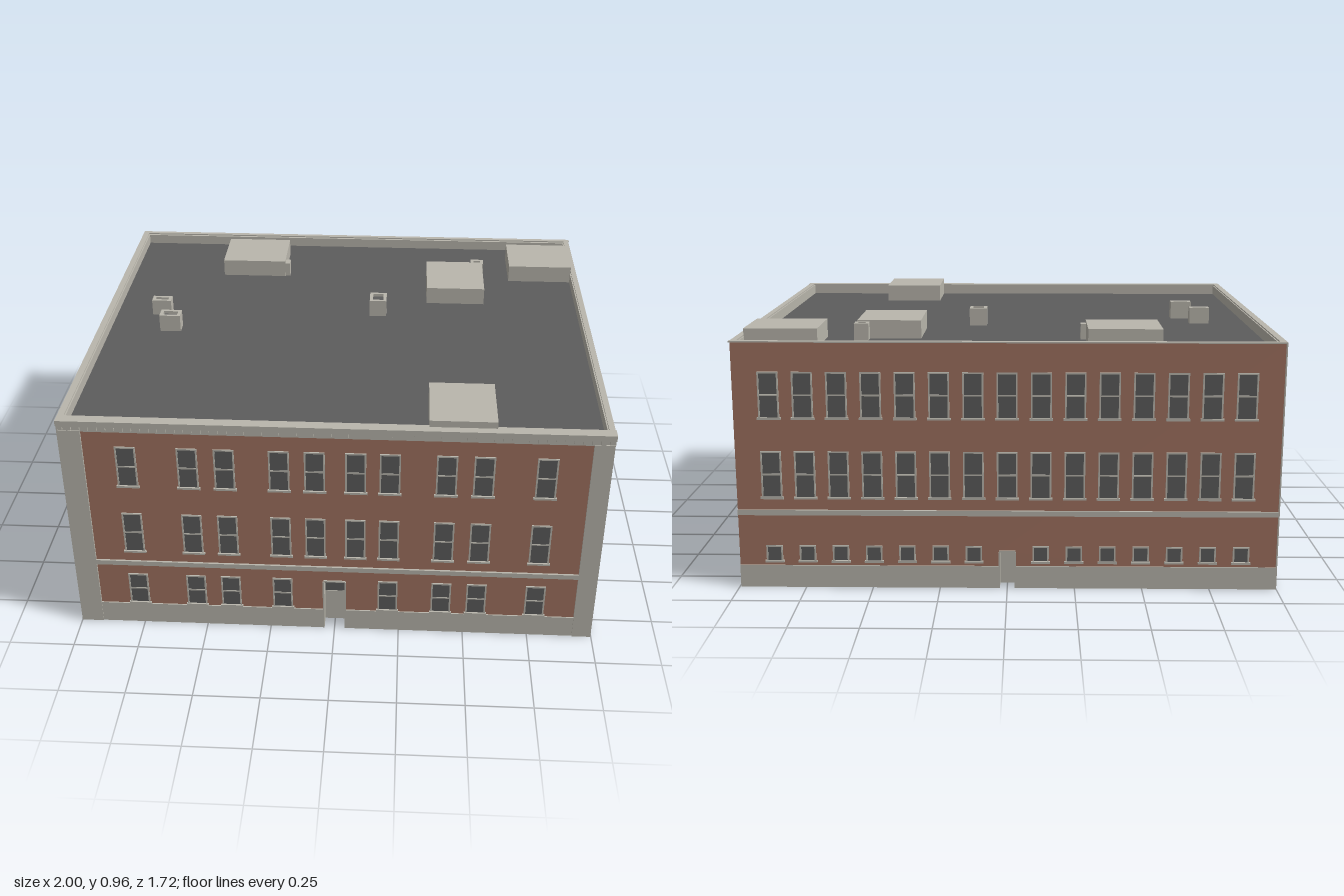
import * as THREE from 'three';

const mat = (name, color, side = THREE.FrontSide) => {
  const m = new THREE.MeshStandardMaterial({ color, side });
  m.name = name;
  return m;
};

export function createModel() {
  const brick = mat('brick', 0xa07260);
  const stone = mat('stone', 0xb9b6ac);
  const dark = mat('roof and glass', 0x5c5c5c);

  const model = new THREE.Group();
  model.name = 'building';

  // Box given by its minimum and maximum corners
  const box = (parent, name, m, x0, x1, y0, y1, z0, z1) => {
    const mesh = new THREE.Mesh(new THREE.BoxGeometry(x1 - x0, y1 - y0, z1 - z0), m);
    mesh.position.set((x0 + x1) / 2, (y0 + y1) / 2, (z0 + z1) / 2);
    mesh.name = name;
    parent.add(mesh);
    return mesh;
  };

  const WALL = 0.925, ROOF = 0.885;

  // Wall skin with an optional doorway cut from its lower edge
  const skin = (parent, name, m, width, z0, z1, door) => {
    const w = width / 2, s = new THREE.Shape();
    s.moveTo(-w, 0);
    if (door) {
      s.lineTo(-door.w / 2, 0);
      s.lineTo(-door.w / 2, door.h);
      s.lineTo(door.w / 2, door.h);
      s.lineTo(door.w / 2, 0);
    }
    s.lineTo(w, 0);
    s.lineTo(w, WALL);
    s.lineTo(-w, WALL);
    const mesh = new THREE.Mesh(new THREE.ExtrudeGeometry(s, { depth: z1 - z0, bevelEnabled: false }), m);
    mesh.position.z = z0;
    mesh.name = name;
    parent.add(mesh);
  };

  // One facade, built facing +z with its outer face at z = 0
  const facade = (name, angle, x, z, outer, inner, door) => {
    const g = new THREE.Group();
    g.name = name;
    g.position.set(x, 0, z);
    g.rotation.y = angle;
    skin(g, 'brickWall', brick, outer, -0.01, 0, door);
    skin(g, 'innerWall', stone, inner, -0.025, -0.01, door);
    model.add(g);
    return g;
  };

  // Sash window: dark panes, thin frame, middle rail and sill
  const sashWindow = (parent, x, y0, y1, w = 0.07, rail = true) => {
    const g = new THREE.Group();
    g.name = 'window';
    g.position.x = x;
    const h = w / 2, t = 0.006;
    box(g, 'glass', dark, -h, h, y0, y1, 0, 0.002);
    for (const s of [-1, 1]) box(g, 'frameSide', stone, s * h - t / 2, s * h + t / 2, y0, y1, 0, 0.005);
    box(g, 'frameTop', stone, -h - t / 2, h + t / 2, y1 - t / 2, y1 + t / 2, 0, 0.005);
    if (rail) box(g, 'middleRail', stone, -h, h, (y0 + y1) / 2 - 0.003, (y0 + y1) / 2 + 0.003, 0, 0.004);
    box(g, 'sill', stone, -h - 0.008, h + 0.008, y0 - 0.008, y0, 0, 0.009);
    parent.add(g);
  };

  // Recessed entrance with a door leaf and a transom above it
  const entrance = (parent, d, leaf) => {
    const g = new THREE.Group();
    g.name = 'entrance';
    const w = d.w / 2, zb = -0.06;
    for (const s of [-1, 1]) box(g, 'jamb', stone, s * w - 0.003, s * w + 0.003, 0, d.h, zb, 0.006);
    box(g, 'lintel', stone, -w, w, d.h, d.h + 0.006, zb, 0.006);
    box(g, 'doorLeaf', stone, -w, w, 0, leaf, zb, zb + 0.008);
    if (leaf < d.h) box(g, 'transom', dark, -w, w, leaf, d.h, zb, zb + 0.006);
    parent.add(g);
  };

  // Stone base on both sides of the door, and the belt course
  const bands = (g, x0, x1, baseH, doorW) => {
    box(g, 'base', stone, x0, -doorW / 2, 0, baseH, 0, 0.005);
    box(g, 'base', stone, doorW / 2, x1, 0, baseH, 0, 0.005);
    box(g, 'beltCourse', stone, x0, x1, 0.28, 0.3, 0, 0.008);
  };

  const upperRows = [[0.35, 0.52], [0.65, 0.815]];

  // Front facade
  const frontDoor = { w: 0.084, h: 0.226 };
  const front = facade('frontFacade', 0, 0, 0.845, 1.99, 1.97, frontDoor);
  bands(front, -0.915, 0.925, 0.09, frontDoor.w);
  box(front, 'cornerPilaster', stone, -1, -0.915, 0, 0.885, 0, 0.008);
  box(front, 'cornerPilaster', stone, 0.925, 0.998, 0, 0.885, 0, 0.008);
  entrance(front, frontDoor, 0.14);
  for (const x of [-0.76, -0.535, -0.4, -0.2, -0.07, 0.08, 0.205, 0.41, 0.545, 0.77]) {
    for (const [a, b] of upperRows) sashWindow(front, x, a, b);
    if (Math.abs(x) > 0.1) sashWindow(front, x, 0.1, 0.233);
  }

  // Cornice with a row of small brackets
  box(front, 'cornice', stone, -1, 1, 0.905, 0.918, 0, 0.014);
  box(front, 'frieze', stone, -1, 1, 0.88, 0.905, 0, 0.004);
  for (let i = 0; i < 64; i++) {
    const x = -0.985 + i * 1.97 / 63;
    box(front, 'bracket', stone, x - 0.008, x + 0.008, 0.889, 0.905, 0, 0.012);
  }

  // Back facade, with small basement windows
  const backDoor = { w: 0.06, h: 0.14 };
  const back = facade('backFacade', Math.PI, 0, -0.853, 1.99, 1.97, backDoor);
  bands(back, -0.995, 0.995, 0.085, backDoor.w);
  entrance(back, backDoor, 0.14);
  for (let i = 0; i < 15; i++) {
    const x = (i - 7) * 0.1235;
    for (const [a, b] of upperRows) sashWindow(back, x, a, b);
    if (i !== 7) sashWindow(back, x, 0.105, 0.16, 0.055, false);
  }

  // Windowed side facade at -x
  const side = facade('windowedSide', -Math.PI / 2, -0.995, -0.004, 1.678, 1.648, frontDoor);
  bands(side, -0.77, 0.77, 0.09, frontDoor.w);
  for (const s of [-1, 1])
    box(side, 'cornerPilaster', stone, s < 0 ? -0.853 : 0.77, s < 0 ? -0.77 : 0.857, 0, WALL, 0, 0.005);
  entrance(side, frontDoor, 0.14);
  for (let i = 0; i < 7; i++) {
    const z = (i - 3) * 0.231;
    for (const [a, b] of upperRows) sashWindow(side, z, a, b);
    if (i !== 3) sashWindow(side, z, 0.1, 0.233);
  }

  // Plain party wall at +x
  facade('partyWall', Math.PI / 2, 0.995, -0.004, 1.678, 1.648);

  // Roof deck and parapet coping
  box(model, 'roofDeck', dark, -0.975, 0.975, ROOF - 0.01, ROOF, -0.835, 0.825);
  box(model, 'frontCoping', stone, -1, 1, 0.918, 0.93, 0.82, 0.862);
  box(model, 'backCoping', stone, -1, 1, WALL, 0.93, -0.86, -0.838);
  for (const s of [-1, 1])
    box(model, 'sideCoping', stone, s < 0 ? -1 : 0.975, s < 0 ? -0.975 : 0.997, WALL, 0.93, -0.838, 0.82);

  // Rooftop housings
  for (const [x0, x1, z0, z1] of [
    [-0.57, -0.295, -0.73, -0.49], [0.7, 0.972, -0.73, -0.49],
    [0.335, 0.58, -0.525, -0.25], [0.34, 0.583, 0.56, 0.832],
  ]) box(model, 'roofHousing', stone, x0, x1, ROOF, 0.956, z0, z1);
  box(model, 'housingAnnex', stone, -0.295, -0.275, ROOF, 0.945, -0.535, -0.495);

  // Chimneys with dark flue openings
  for (const [x, z, w, d, top] of [
    [-0.78, -0.105, 0.08, 0.045, 0.95], [-0.72, -0.04 + 0.0, 0.085, 0.055, 0.955],
    [0.13, -0.155, 0.07, 0.08, 0.955], [0.56, -0.545, 0.055, 0.045, 0.95],
  ].map((c, i) => (i === 1 ? [c[0], 0.038, c[2], c[3], c[4]] : c))) {
    const g = new THREE.Group();
    g.name = 'chimney';
    g.position.set(x, 0, z);
    const t = 0.013, a = w / 2, b = d / 2;
    for (const s of [-1, 1]) {
      box(g, 'chimneyWall', stone, s < 0 ? -a : a - t, s < 0 ? -a + t : a, ROOF, top, -b, b);
      box(g, 'chimneyWall', stone, -a + t, a - t, ROOF, top, s < 0 ? -b : b - t, s < 0 ? -b + t : b);
    }
    box(g, 'flue', dark, -a + t, a - t, ROOF, top - 0.012, -b + t, b - t);
    model.add(g);
  }

  return model;
}
